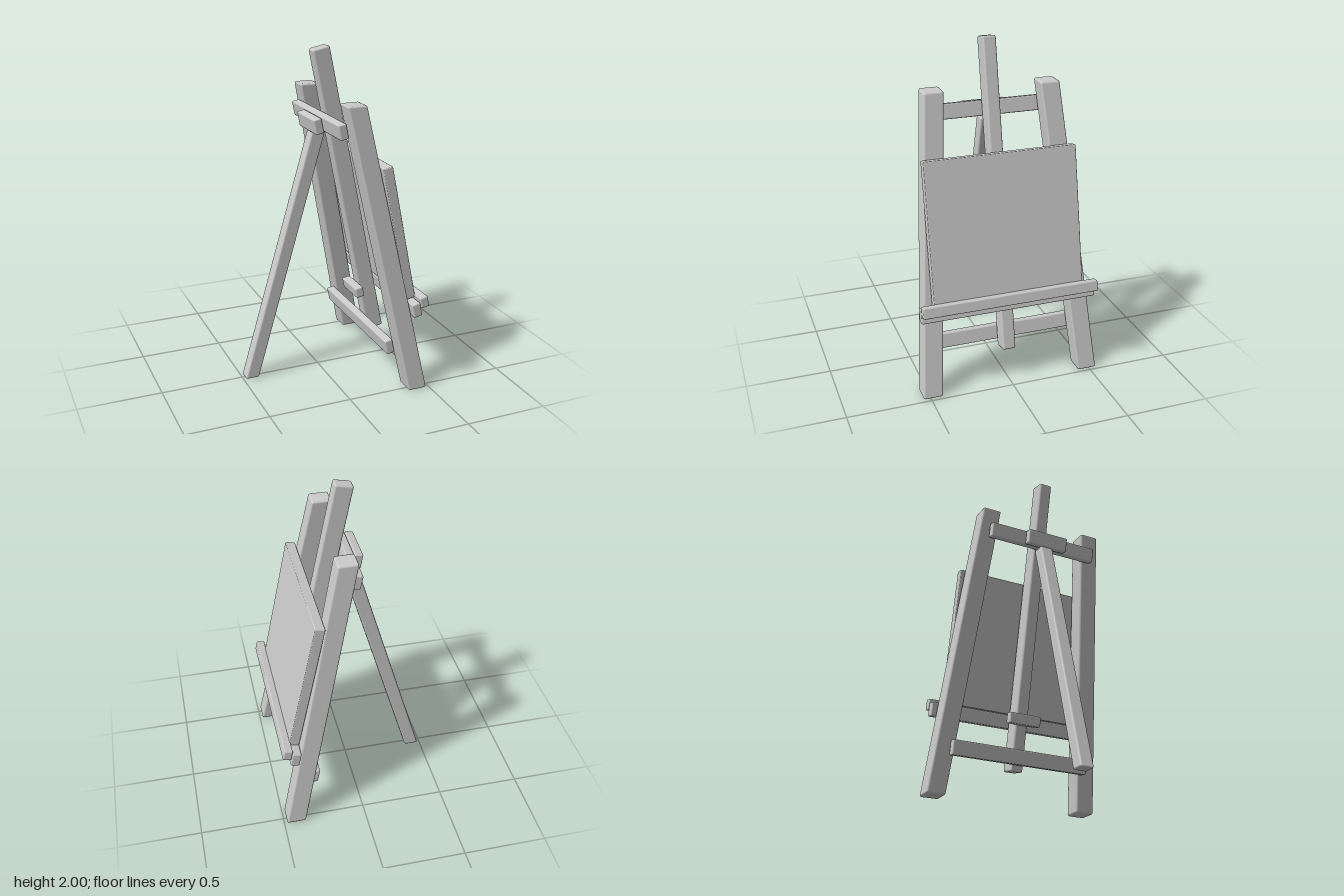
import * as THREE from 'three';
import { RoundedBoxGeometry } from 'three/addons/geometries/RoundedBoxGeometry.js';

const LEAN = 0.204; // backward tilt of the easel frame

export function createModel() {
  const easel = new THREE.Group();
  easel.name = 'easel';
  const wood = new THREE.MeshStandardMaterial({ color: 0xcccccc });

  const add = (name, geometry) => {
    const mesh = new THREE.Mesh(geometry, wood);
    mesh.name = name;
    easel.add(mesh);
    return mesh;
  };

  // Softly bevelled board, tilted with the frame, centred on z = 0
  const board = (name, x, y, w, h, d, bevel = 0.008) => {
    const mesh = add(name, new RoundedBoxGeometry(w, h, d, 1, bevel));
    mesh.position.set(x, y, 0);
    mesh.rotation.z = LEAN;
  };

  // Slanted post with level ends: an upright box sheared between two centres
  const post = (name, [x0, z0], [x1, z1], height, w, d) => {
    const geometry = new RoundedBoxGeometry(w, height, d, 1, 0.012);
    const sx = (x1 - x0) / height, sz = (z1 - z0) / height;
    geometry.applyMatrix4(new THREE.Matrix4().set(
      1, sx, 0, (x0 + x1) / 2,
      0, 1, 0, height / 2,
      0, sz, 1, (z0 + z1) / 2,
      0, 0, 0, 1));
    add(name, geometry);
  };

  // Legs
  for (const [name, s] of [['frontLegA', 1], ['frontLegB', -1]]) {
    post(name, [0.425, 0.486 * s], [0.07, 0.345 * s], 1.725, 0.118, 0.118);
  }
  post('rearLeg', [-0.445, 0], [-0.005, 0], 1.52, 0.086, 0.082);

  // Sliding centre mast
  board('mast', 0.195, 1.092, 0.108, 1.835, 0.08, 0.012);

  // Rungs, hinge and clamp behind the frame
  board('upperRung', 0.01, 1.573, 0.05, 0.09, 0.71);
  board('hingeBlock', -0.044, 1.56, 0.05, 0.09, 0.264);
  board('lowerRung', 0.284, 0.258, 0.05, 0.09, 0.88);
  board('mastClamp', 0.242, 0.48, 0.052, 0.065, 0.205);

  // Tray and its raised lip
  board('trayRail', 0.41, 0.512, 0.054, 0.085, 1.066);
  board('trayLip', 0.457, 0.556, 0.052, 0.066, 1.066);

  // Canvas resting on the tray
  board('canvas', 0.322, 0.966, 0.06, 0.832, 0.91, 0.006);

  return easel;
}
